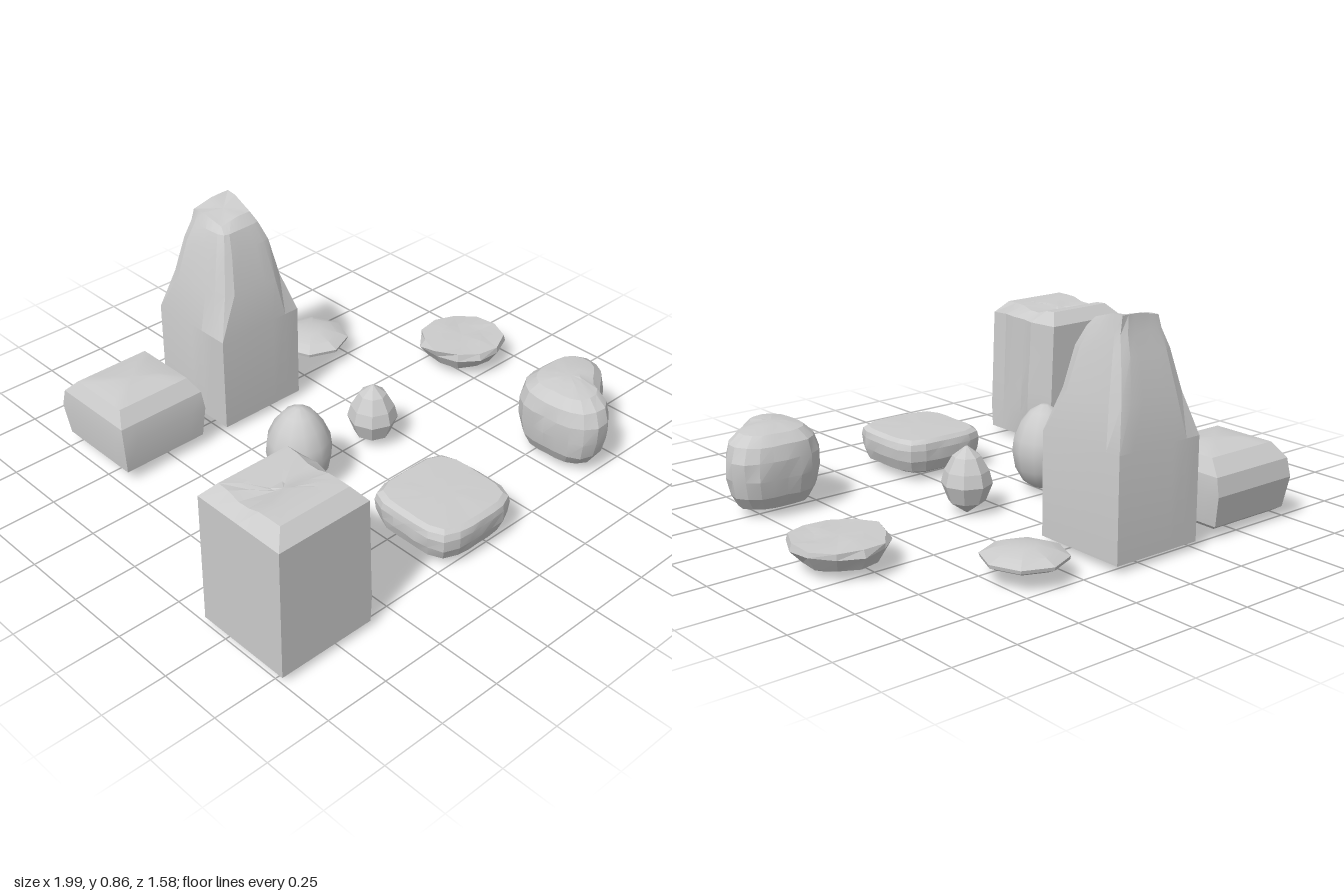
import * as THREE from 'three';
import { toCreasedNormals, mergeVertices } from 'three/addons/utils/BufferGeometryUtils.js';

// Small repeatable roughness in -1..1
const rough = (i, j, s) => {
  const v = Math.sin(i * 12.9898 + j * 78.233 + s * 37.719) * 43758.5453;
  return (v - Math.floor(v)) * 2 - 1;
};

// Skin a stack of equal-length closed loops, bottom to top, and close both ends
function skin(loops, crease) {
  const n = loops[0].length, pos = [], idx = [];
  loops.forEach(l => l.forEach(p => pos.push(...p)));
  for (let i = 0; i < loops.length - 1; i++) {
    for (let j = 0; j < n; j++) {
      const a = i * n + j, b = i * n + (j + 1) % n;
      idx.push(a, a + n, b, b, a + n, b + n);
    }
  }
  [loops[0], loops[loops.length - 1]].forEach((l, e) => {
    const c = pos.length / 3, s = e ? (loops.length - 1) * n : 0;
    pos.push(...[0, 1, 2].map(k => l.reduce((t, p) => t + p[k], 0) / n));
    for (let j = 0; j < n; j++) {
      const a = s + j, b = s + (j + 1) % n;
      idx.push(c, ...(e ? [b, a] : [a, b]));
    }
  });
  const g = new THREE.BufferGeometry();
  g.setAttribute('position', new THREE.Float32BufferAttribute(pos, 3));
  g.setIndex(idx);
  return toCreasedNormals(mergeVertices(g, 1e-5), crease);
}

// Four-sided loop; corners run back right, front right, front left, back left
function quad(corners, y, n = 6) {
  const out = [];
  corners.forEach((a, k) => {
    const b = corners[(k + 1) % 4];
    for (let j = 0; j < n; j++) {
      const t = j / n, x = a[0] + (b[0] - a[0]) * t, z = a[1] + (b[1] - a[1]) * t;
      out.push([x, typeof y === 'function' ? y(x, z) : y, z]);
    }
  });
  return out;
}
const rect = (x0, x1, z0, z1) => [[x1, z0], [x1, z1], [x0, z1], [x0, z0]];

// Rounded stones: an outline around a centre, scaled level by level [y, scale]
function stone(outline, cx, cz, levels, bump = 0, seed = 1) {
  return levels.map(([y, s], i) => outline.map(([x, z], j) => {
    const r = s * (1 + bump * rough(i, j, seed));
    return [cx + x * r, y + bump * 0.08 * rough(j, i, seed + 5), cz + z * r];
  }));
}
// Superellipse outline: power 2 is round, higher is squarer
function oval(n, rx, rz, power = 2, turn = 0) {
  return Array.from({ length: n }, (_, j) => {
    const a = turn + j / n * Math.PI * 2, c = Math.cos(a), s = Math.sin(a);
    const k = Math.pow(Math.abs(c) ** power + Math.abs(s) ** power, -1 / power);
    return [c * k * rx, s * k * rz];
  });
}

export function createModel() {
  const group = new THREE.Group();
  const material = new THREE.MeshStandardMaterial({ color: 0xcccccc });
  const add = (name, loops, crease = 0.25) => {
    const mesh = new THREE.Mesh(skin(loops, crease), material);
    mesh.name = name;
    group.add(mesh);
  };

  // Upright block with a chipped right side and a shallow groove across the top
  const blockTop = (x, z) => 0.59 - 0.022 * Math.exp(-(((z - 0.56) / 0.05) ** 2));
  const block = [
    quad(rect(-1, -0.61, 0.395, 0.785), 0.03),
    quad(rect(-1, -0.605, 0.395, 0.785), 0.13),
    quad(rect(-1, -0.61, 0.395, 0.785), 0.25),
    quad(rect(-1, -0.615, 0.395, 0.785), 0.4),
    quad(rect(-1, -0.62, 0.395, 0.785), 0.54),
    quad(rect(-0.95, -0.66, 0.44, 0.735), blockTop),
    quad(rect(-0.89, -0.72, 0.49, 0.68), blockTop),
    quad(rect(-0.83, -0.78, 0.55, 0.62), blockTop),
  ];
  block.slice(1, 5).forEach((l, i) => {
    l[2][0] += [0.016, 0.02, 0.015, 0.015][i];
    l[1][0] += 0.008;
    l[5][0] -= 0.012;
  });
  add('blockRock', block);

  // Low box with a bulging waist and softly domed top
  add('boxRock', [
    quad(rect(-0.7, -0.39, -0.74, -0.43), 0.03),
    quad(rect(-0.725, -0.365, -0.77, -0.405), 0.05),
    quad(rect(-0.735, -0.35, -0.795, -0.4), 0.17),
    quad(rect(-0.73, -0.355, -0.78, -0.415), 0.24),
    quad(rect(-0.7, -0.385, -0.725, -0.46), 0.295),
    quad(rect(-0.63, -0.46, -0.65, -0.53), 0.31),
  ], 0.3);

  // Tall spire: square base, tapering worn sides, slanting tip
  const tip = (x, z) => 0.865 - Math.max(0, z + 0.64) * 0.3 - Math.max(0, -0.04 - x) * 0.2;
  const spire = [
    quad(rect(-0.25, 0.13, -0.785, -0.4), 0.03),
    quad(rect(-0.25, 0.13, -0.785, -0.4), 0.42),
    quad([[0.105, -0.755], [0.095, -0.43], [-0.205, -0.435], [-0.22, -0.75]], 0.58),
    quad([[0.075, -0.725], [0.065, -0.47], [-0.17, -0.47], [-0.185, -0.72]], 0.73),
    quad([[0.055, -0.7], [0.04, -0.505], [-0.145, -0.5], [-0.155, -0.695]], 0.8),
    quad([[0.038, -0.69], [0.02, -0.54], [-0.12, -0.54], [-0.135, -0.685]], tip),
  ];
  spire.slice(2, 5).forEach((l, i) => [0, 6, 12, 18].forEach(k => {
    // Chip the corner edges
    l[k][0] += (-0.04 - l[k][0]) * 0.1;
    l[k][2] += (-0.61 - l[k][2]) * (0.07 + 0.05 * rough(i, k, 3));
  }));
  add('spireRock', spire);

  // Lens-shaped pebble
  add('lensPebble', stone(oval(8, 0.155, 0.155), 0.39, -0.61,
    [[0.042, 0.4], [0.058, 0.75], [0.075, 0.98], [0.088, 1], [0.108, 0.7], [0.122, 0.3]]));

  // Shallow dish-shaped stone with an uneven flat top
  add('flatStone', stone(oval(11, 0.178, 0.178, 2, 0.2), 0.818, -0.14,
    [[0.022, 0.45], [0.045, 0.78], [0.095, 0.98], [0.12, 0.95], [0.122, 0.5]], 0.06, 2), 0.15);

  // Smooth egg
  add('eggStone', stone(oval(12, 0.125, 0.127), -0.258, 0.038,
    [[0.022, 0.35], [0.045, 0.65], [0.1, 0.9], [0.17, 1], [0.22, 0.95], [0.28, 0.74], [0.325, 0.45], [0.35, 0.12]]), 0.7);

  // Small pointed pebble
  add('pointedPebble', stone(oval(8, 0.098, 0.098), 0.135, 0.025,
    [[0.003, 0.04], [0.05, 0.72], [0.12, 1], [0.17, 0.87], [0.225, 0.55], [0.262, 0.06]]), 0.2);

  // Rounded square slab
  add('slabStone', stone(oval(24, 0.198, 0.198, 4.5), -0.065, 0.59,
    [[0.028, 0.72], [0.045, 0.9], [0.09, 0.985], [0.135, 1], [0.16, 0.97], [0.174, 0.88], [0.177, 0.4]], 0.012, 4));

  // Bean-shaped boulder
  const bean = new THREE.CatmullRomCurve3([
    [0.87, 0.48], [0.85, 0.57], [0.78, 0.63], [0.71, 0.68], [0.67, 0.75], [0.59, 0.775], [0.51, 0.73],
    [0.485, 0.6], [0.495, 0.47], [0.57, 0.4], [0.7, 0.39], [0.83, 0.415],
  ].map(([x, z]) => new THREE.Vector3(x - 0.65, 0, z - 0.56)), true)
    .getSpacedPoints(22).slice(0, 22).map(p => [p.x, p.z]);
  add('beanBoulder', stone(bean, 0.65, 0.56,
    [[0.022, 0.5], [0.04, 0.76], [0.09, 0.92], [0.16, 0.99], [0.23, 0.99], [0.285, 0.9], [0.32, 0.68], [0.334, 0.3]], 0.018, 7));

  return group;
}
